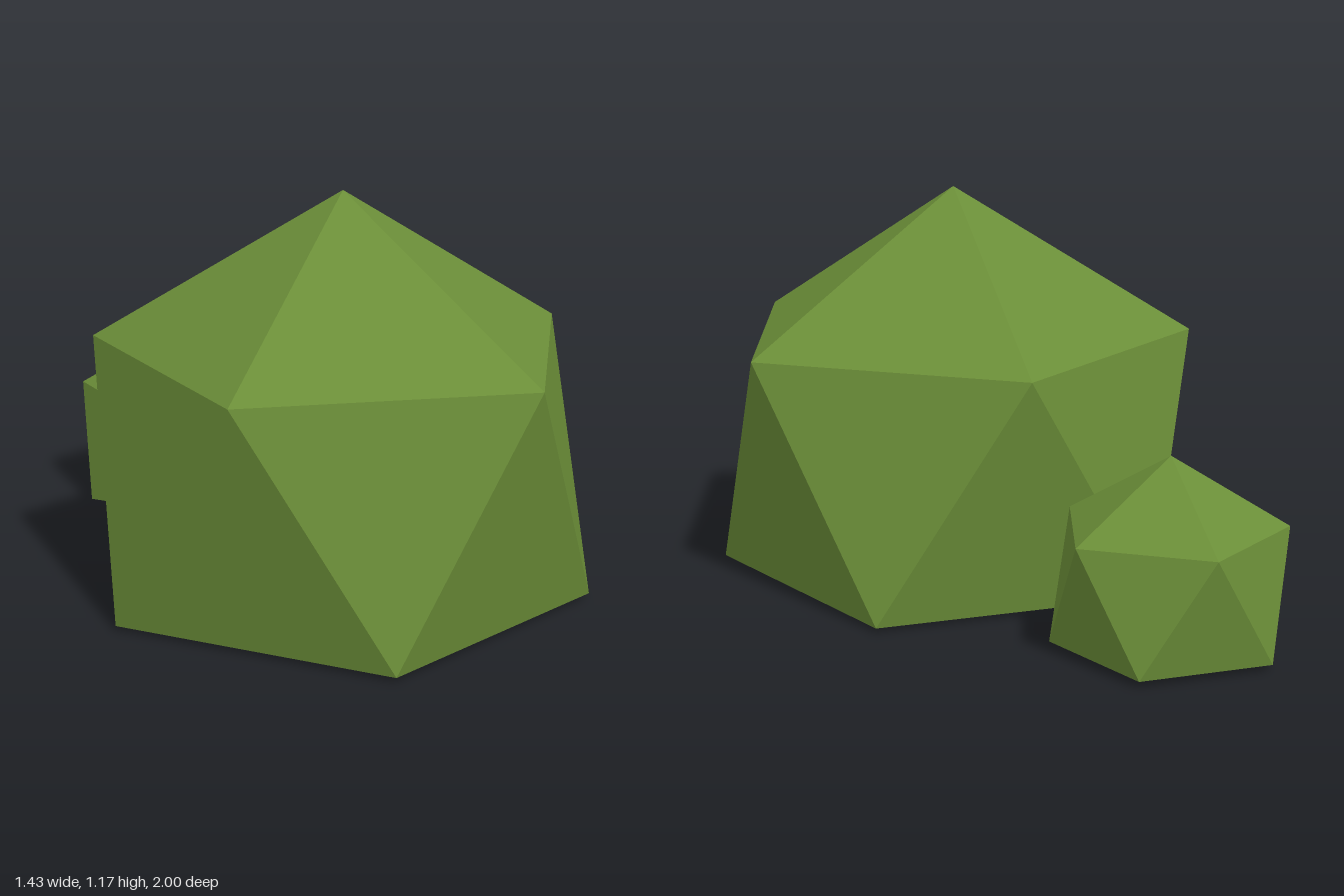
import * as THREE from 'three';

// Faceted bush: apex, upper ring of five, lower ring turned half a step, nearly flat base
function bushGeometry(radius, top, upperY, lowerY, bottom) {
  const ring = (y, offset) => Array.from({ length: 5 }, (_, i) => {
    const a = (i + offset) * Math.PI * 2 / 5;
    return [radius * Math.cos(a), y, radius * Math.sin(a)];
  });
  const upper = ring(upperY, 0), lower = ring(lowerY, 0.5);
  const apex = [0, top, 0], base = [0, bottom, 0];
  const points = [];
  for (let i = 0; i < 5; i++) {
    const j = (i + 1) % 5;
    points.push(
      apex, upper[j], upper[i],
      upper[i], upper[j], lower[i],
      lower[i], upper[j], lower[j],
      lower[i], lower[j], base
    );
  }
  // Unshared corners give flat facets
  const geometry = new THREE.BufferGeometry();
  geometry.setAttribute('position', new THREE.Float32BufferAttribute(points.flat(), 3));
  geometry.computeVertexNormals();
  return geometry;
}

export function createModel() {
  const group = new THREE.Group();
  group.name = 'bushes';
  const leafGreen = new THREE.MeshStandardMaterial({ color: 0x6b8e38 });
  leafGreen.name = 'leaf green';

  const addBush = (name, x, z, ...shape) => {
    const mesh = new THREE.Mesh(bushGeometry(...shape), leafGreen);
    mesh.name = name;
    mesh.position.set(x, 0, z);
    group.add(mesh);
  };

  // Arguments: centre x and z, radius, apex, upper ring, lower ring and base heights
  addBush('largeBush', 0, 0.32, 0.714, 1.17, 0.73, 0.016, 0.003);
  addBush('smallBush', -0.007, -0.685, 0.331, 0.556, 0.354, 0.022, 0.016);

  return group;
}
